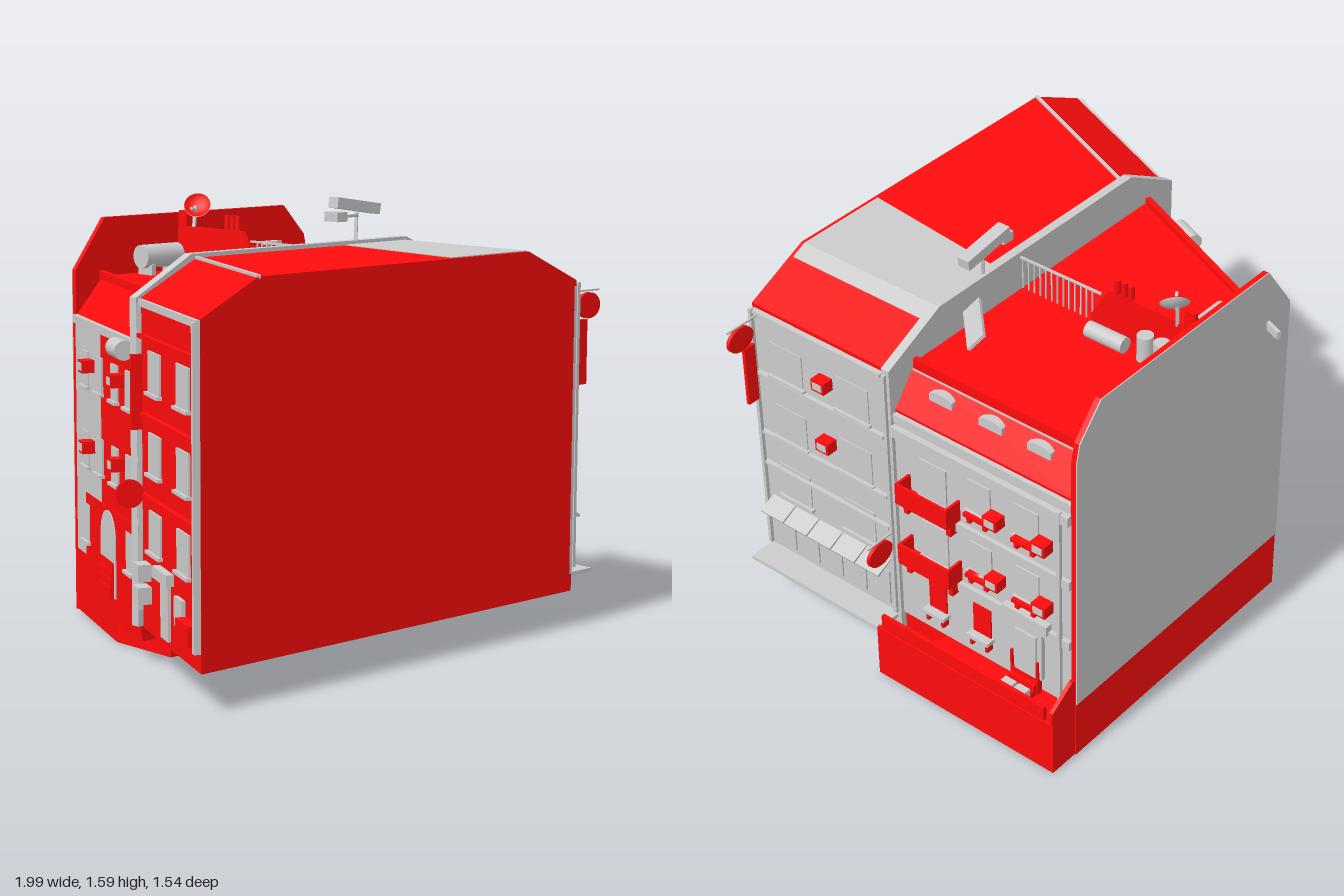
import * as THREE from 'three';
import { ConvexGeometry } from 'three/addons/geometries/ConvexGeometry.js';

const grey = new THREE.MeshStandardMaterial({ color: 0xcccccc, side: THREE.DoubleSide });
const red = new THREE.MeshStandardMaterial({ color: 0xff0c0c, side: THREE.DoubleSide });

function add(parent, name, geometry, mat, x = 0, y = 0, z = 0) {
  const m = new THREE.Mesh(geometry, mat);
  m.name = name;
  m.position.set(x, y, z);
  parent.add(m);
  return m;
}
// box given by its extents
const box = (p, name, mat, x0, x1, y0, y1, z0, z1) =>
  add(p, name, new THREE.BoxGeometry(x1 - x0, y1 - y0, z1 - z0), mat, (x0 + x1) / 2, (y0 + y1) / 2, (z0 + z1) / 2);
const cyl = (p, name, mat, r, h, x, y, z, sides = 16) =>
  add(p, name, new THREE.CylinderGeometry(r, r, h, sides), mat, x, y, z);
const hull = (p, name, mat, pts) =>
  add(p, name, new ConvexGeometry(pts.map(a => new THREE.Vector3(...a))), mat);
// rectangular bar between two points of the parent's frame
function bar(p, name, mat, a, b, w, h = w) {
  const A = new THREE.Vector3(...a), B = new THREE.Vector3(...b);
  const m = add(p, name, new THREE.BoxGeometry(w, h, A.distanceTo(B)), mat);
  m.position.copy(A).lerp(B, 0.5);
  m.quaternion.setFromRotationMatrix(new THREE.Matrix4().lookAt(B, A, m.up));
  return m;
}
function plate(p, name, mat, pts, depth, z) {
  const s = new THREE.Shape(pts.map(a => new THREE.Vector2(...a)));
  return add(p, name, new THREE.ExtrudeGeometry(s, { depth, bevelEnabled: false }), mat, 0, 0, z);
}
// x of the slanted street front at depth z
const slant = z => -0.69 - 0.4375 * (z - 0.12);

// window: pane and sill on a facade whose outward side is +z
function windowAt(p, u, y, w, h) {
  box(p, 'windowPane', grey, u - w / 2, u + w / 2, y - h / 2, y + h / 2, 0, 0.008);
  box(p, 'windowSill', grey, u - w / 2 - 0.01, u + w / 2 + 0.01, y - h / 2 - 0.012, y - h / 2, 0, 0.02);
}
function airUnit(p, u, y) {
  box(p, 'airUnit', red, u - 0.03, u + 0.03, y - 0.023, y + 0.023, 0, 0.05);
  box(p, 'airUnitGrille', grey, u - 0.021, u + 0.021, y - 0.014, y + 0.014, 0.05, 0.053);
}
function roundSign(p, x, y, z) {
  const d = cyl(p, 'roundSign', red, 0.06, 0.014, x, y, z, 24);
  d.rotation.x = Math.PI / 2;
  d.scale.z = 0.8;
  bar(p, 'signArm', grey, [x - 0.09, y + 0.055, z], [x + 0.06, y + 0.055, z], 0.006);
}

function shells(g) {
  const profile = (z, l) => [[l, 0.135, z], [l, 1.29, z], [l + 0.25, 1.41, z], [0.58, 1.41, z], [0.84, 1.29, z], [0.84, 0.135, z]];
  hull(g, 'frontHouse', red, [...profile(0.12, slant(0.12)), ...profile(0.76, slant(0.76))]);
  // patched part of the roof
  hull(g, 'roofPatch', grey, [1.408, 1.413].flatMap(y =>
    [[0.27, y, 0.14], [0.27, y, 0.57], [0.2, y, 0.745], [0.58, y, 0.745], [0.58, y, 0.14]]));
  hull(g, 'roofPatchSlope', grey, [0, 0.005].flatMap(d =>
    [[0.58, 1.408 + d, 0.14], [0.64, 1.38 + d, 0.14], [0.64, 1.38 + d, 0.745], [0.58, 1.408 + d, 0.745]]));
  // rear house: body with mansard, stepped plinth
  const body = z => [[slant(z), 0.08, z], [slant(z), 1.13, z], [slant(z) + 0.13, 1.27, z],
    [0.72, 1.27, z], [0.83, 1.13, z], [0.83, 0.08, z]];
  hull(g, 'rearHouse', red, [...body(-0.69), ...body(0.12)]);
  hull(g, 'plinth', red, [0, 0.1].flatMap(y =>
    [[-0.56, y, -0.18], [slant(-0.69), y, -0.69], [0.84, y, -0.69], [0.84, y, 0.12], [-0.56, y, 0.12]]));
  // party wall and rear firewall
  plate(g, 'partyWall', grey, [[-0.72, 0.14], [-0.72, 1.29], [-0.47, 1.425], [0.59, 1.425], [0.855, 1.3], [0.855, 0.14]], 0.035, 0.102);
  const fire = y => [[-0.34, y], [-0.34, 1.3], [-0.2, 1.49], [0.72, 1.49], [0.83, 1.37], [0.845, 1.3], [0.845, y]];
  plate(g, 'firewall', red, fire(0), 0.02, -0.7);
  plate(g, 'firewallFace', grey, fire(0.24), 0.004, -0.704);
  // eaves and ridge trims
  bar(g, 'eaveTrim', grey, [slant(0.14) - 0.003, 1.275, 0.14], [slant(0.76) - 0.003, 1.275, 0.755], 0.02, 0.025);
  bar(g, 'ridgeTrim', grey, [slant(0.14) + 0.25, 1.41, 0.14], [slant(0.76) + 0.25, 1.41, 0.76], 0.014, 0.012);
  bar(g, 'eaveTrim', grey, [slant(-0.68) - 0.004, 1.12, -0.68], [slant(0.1) - 0.004, 1.12, 0.1], 0.022, 0.03);
  bar(g, 'ridgeBeam', red, [-0.21, 1.275, -0.69], [-0.57, 1.275, 0.1], 0.022, 0.03);
  bar(g, 'ridgeBeamEnd', grey, [-0.18, 1.268, -0.77], [-0.215, 1.268, -0.69], 0.016, 0.03);
}

// straight front on the +x side; u runs along -z
function straightFront(g) {
  const f = new THREE.Group();
  f.name = 'straightFront';
  f.position.set(0.84, 0, 0);
  f.rotation.y = Math.PI / 2;
  g.add(f);
  // front house
  box(f, 'frontHouseWall', grey, -0.76, -0.13, 0.2, 1.27, -0.01, 0.004);
  box(f, 'pavement', grey, -0.76, -0.12, 0.19, 0.205, 0, 0.115);
  for (const y of [1.275, 1.01, 0.745, 0.605]) box(f, 'ledge', grey, -0.75, -0.14, y - 0.012, y, 0, 0.022);
  for (const y of [1.09, 0.82, 0.55]) for (const u of [-0.605, -0.29]) windowAt(f, u, y, 0.15, 0.14);
  for (const y of [1.11, 0.845]) airUnit(f, -0.415, y);
  for (let i = 0; i < 5; i++) {
    const u = -0.735 + i * 0.118;
    box(f, 'shopWindow', grey, u, u + 0.105, 0.23, 0.38, 0, 0.01);
    hull(f, 'awning', grey, [u, u + 0.112].flatMap(x => [[x, 0.445, 0], [x, 0.44, 0], [x, 0.4, 0.07], [x, 0.41, 0.075]]));
  }
  for (const [u, top] of [[-0.75, 1.28], [-0.122, 1.28], [0.64, 1.08]])
    bar(f, 'drainpipe', grey, [u, 0.22, 0.02], [u, top, 0.02], 0.014);
  // rear house
  box(f, 'rearHouseWall', grey, -0.1, 0.68, 0.22, 1.12, -0.012, 0.002);
  box(f, 'cornice', grey, -0.1, 0.68, 1.035, 1.075, 0, 0.025);
  box(f, 'eaveBoard', grey, -0.1, 0.68, 1.09, 1.12, -0.01, 0.008);
  box(f, 'roofEdge', red, -0.1, 0.68, 1.25, 1.29, -0.125, -0.105);
  box(f, 'roofEdgeTrim', grey, -0.1, 0.68, 1.243, 1.25, -0.12, -0.1);
  for (const y of [0.775, 0.505]) {
    box(f, 'floorBand', grey, -0.1, 0.68, y - 0.02, y + 0.018, 0, 0.018);
    // balcony: floor slab, three parapets, brackets
    box(f, 'balconyFloor', red, -0.045, 0.19, y + 0.025, y + 0.045, 0, 0.075);
    box(f, 'balconyFront', red, -0.045, 0.19, y + 0.025, y + 0.11, 0.065, 0.075);
    for (const u of [-0.045, 0.18]) box(f, 'balconySide', red, u, u + 0.01, y + 0.025, y + 0.11, 0, 0.075);
    for (const u of [-0.025, 0.17]) box(f, 'balconyBracket', red, u - 0.01, u + 0.01, y - 0.03, y + 0.025, 0, 0.045);
    windowAt(f, 0.072, y + 0.13, 0.12, 0.16);
    for (const u of [0.28, 0.49]) {
      windowAt(f, u, y + 0.165, 0.1, 0.13);
      box(f, 'sillShelf', red, u - 0.05, u + 0.05, y + 0.085, y + 0.1, 0, 0.035);
      for (const d of [-0.035, 0.035]) box(f, 'sillBracket', red, u + d - 0.008, u + d + 0.008, y + 0.055, y + 0.085, 0, 0.025);
      airUnit(f, u + 0.08, y + 0.125);
    }
  }
  for (const u of [0.075, 0.28]) {
    box(f, 'groundWindow', red, u - 0.04, u + 0.04, 0.33, 0.455, 0, 0.008);
    box(f, 'bench', grey, u - 0.05, u + 0.05, 0.315, 0.33, 0, 0.04);
    for (const d of [-0.04, 0.03]) box(f, 'benchLeg', red, u + d, u + d + 0.012, 0.28, 0.315, 0, 0.03);
  }
  box(f, 'doorSurround', grey, 0.42, 0.56, 0.28, 0.53, 0, 0.02);
  box(f, 'doorHood', grey, 0.39, 0.59, 0.51, 0.55, 0, 0.03);
  box(f, 'door', grey, 0.445, 0.54, 0.28, 0.47, 0, 0.028);
  for (let i = 0; i < 3; i++) box(f, 'doorStep', red, 0.43, 0.545, 0.215, 0.285 - i * 0.022, 0, 0.03 + i * 0.015);
  for (const u of [0.43, 0.545]) box(f, 'doorStepRail', red, u - 0.004, u + 0.004, 0.215, 0.36, 0.01, 0.03);
  // arched dormers set into the mansard
  for (const u of [0.06, 0.28, 0.49]) {
    const s = new THREE.Shape().moveTo(-0.05, 1.187).lineTo(-0.035, 1.18).lineTo(0.035, 1.18).lineTo(0.05, 1.187)
      .lineTo(0.05, 1.222).quadraticCurveTo(0, 1.248, -0.05, 1.222);
    add(f, 'dormer', new THREE.ExtrudeGeometry(s, { depth: 0.05, bevelEnabled: false }), grey, u, 0, -0.11);
  }
}

// raised terrace with steps along the straight front
function terrace(g) {
  box(g, 'terrace', red, 0.83, 0.955, 0, 0.215, -0.69, -0.13);
  for (let i = 0; i < 8; i++) box(g, 'terraceStep', red, 0.83, 0.955, 0, 0.025 + i * 0.026, -0.13 + (7 - i) * 0.03, -0.1 + (7 - i) * 0.03);
  box(g, 'terraceParapet', red, 0.95, 0.965, 0, 0.22, -0.69, 0.12);
  box(g, 'terraceUpperParapet', red, 0.945, 0.96, 0.2, 0.28, -0.65, 0.1);
  plate(g, 'terraceEndWall', red, [[0.84, 0], [0.965, 0], [0.965, 0.28], [0.86, 0.35], [0.84, 0.35]], 0.015, -0.695);
  for (let i = 0; i < 2; i++) box(g, 'terraceCrate', grey, 0.9, 0.945, 0.215, 0.26, -0.54 + i * 0.06, -0.49 + i * 0.06);
}

// slanted front on the -x side; u runs from the rear to the front corner
function slantedFront(g) {
  const f = new THREE.Group();
  f.name = 'slantedFront';
  f.position.set(slant(-0.7), 0, -0.7);
  f.rotation.y = Math.atan2(-0.916, -0.4);
  g.add(f);
  // rear house
  box(f, 'rearPlaster', grey, 0.02, 0.37, 0.24, 1.11, -0.01, 0.003);
  box(f, 'baseBand', red, 0.16, 0.89, 0.1, 0.48, -0.01, 0.006);
  for (const y of [0.95, 0.65]) {
    for (const u of [0.17, 0.36, 0.57, 0.76]) windowAt(f, u, y, 0.085, 0.13);
    for (const u of [0.26, 0.66]) airUnit(f, u, y + 0.02);
  }
  for (const u of [0.17, 0.76]) windowAt(f, u, 0.37, 0.09, 0.14);
  const arch = new THREE.Shape().moveTo(-0.1, 0.16).lineTo(0.1, 0.16).lineTo(0.1, 0.37).absarc(0, 0.37, 0.1, 0, Math.PI).lineTo(-0.1, 0.16);
  add(f, 'archedDoorway', new THREE.ExtrudeGeometry(arch, { depth: 0.01, bevelEnabled: false }), grey, 0.48, 0, 0);
  for (let i = 0; i < 4; i++) box(f, 'doorwayStep', red, 0.4, 0.56, 0.16, 0.29 - i * 0.03, 0, 0.014 + i * 0.004);
  const tank = cyl(f, 'wallTank', grey, 0.035, 0.12, 0.79, 1.1, 0.045);
  tank.rotation.z = Math.PI / 2;
  // front house
  for (const y of [1.17, 0.9, 0.62]) box(f, 'ledge', red, 0.92, 1.58, y - 0.015, y, 0, 0.02);
  for (const y of [1.05, 0.77, 0.5]) for (const u of [1.08, 1.41]) windowAt(f, u, y, 0.14, 0.14);
  for (const y of [0.35, 0.27]) box(f, 'wallCabinet', grey, 0.95, 1.02, y - 0.03, y + 0.03, 0, 0.05);
  box(f, 'shopDoor', grey, 1.16, 1.25, 0.16, 0.36, 0, 0.012);
  box(f, 'shopDoorHood', grey, 1.12, 1.29, 0.36, 0.4, 0, 0.03);
  box(f, 'shopWindow', grey, 1.33, 1.42, 0.24, 0.34, 0, 0.015);
  box(f, 'stall', red, 1.43, 1.57, 0.22, 0.29, 0, 0.04);
  box(f, 'bladeSign', red, 0.94, 0.955, 0.84, 1.1, 0.01, 0.05);
  bar(f, 'drainpipe', grey, [0.92, 0.2, 0.012], [0.92, 1.27, 0.012], 0.015);
  box(f, 'cornerPilaster', grey, 1.57, 1.59, 0.2, 1.28, 0, 0.025);
  const disc = cyl(f, 'roundSign', red, 0.05, 0.012, 0.96, 0.62, 0.06, 24);
  disc.rotation.z = Math.PI / 2;
}

function roofThings(g) {
  // dividing wall with a sloped end, chimney pots and railing
  const w = plate(g, 'roofWall', red, [[-0.1, 1.26], [0.22, 1.26], [0.22, 1.31], [0.3, 1.44], [0.62, 1.44], [0.62, 1.5], [0.665, 1.5], [0.68, 1.26]], 0.016, 0);
  w.rotation.y = Math.PI / 2;
  w.position.x = 0.155;
  for (const z of [-0.33, -0.36, -0.39]) cyl(g, 'chimneyPot', red, 0.012, 0.06, 0.163, 1.465, z, 10);
  for (let i = 0; i < 13; i++) bar(g, 'railingPost', grey, [0.163, 1.28, 0.09 - i * 0.026], [0.163, 1.405, 0.09 - i * 0.026], 0.005);
  bar(g, 'railingTop', grey, [0.163, 1.405, 0.1], [0.163, 1.405, -0.26], 0.008);
  // tanks
  for (const z of [-0.5, -0.57]) cyl(g, 'waterTank', grey, 0.03, 0.1, 0.225, 1.325, z);
  cyl(g, 'lyingTank', grey, 0.03, 0.16, 0.245, 1.31, -0.35).rotation.x = Math.PI / 2;
  cyl(g, 'lyingTank', grey, 0.045, 0.18, 0, 1.34, -0.6).rotation.z = Math.PI / 2;
  for (const x of [-0.06, 0.06]) box(g, 'tankFoot', grey, x - 0.01, x + 0.01, 1.26, 1.31, -0.64, -0.56);
  // low beam beside the firewall
  box(g, 'lowWall', red, 0.2, 0.66, 1.26, 1.34, -0.665, -0.635);
  for (const x of [0.22, 0.625]) box(g, 'lowWallCap', grey, x - 0.035, x + 0.035, 1.34, 1.355, -0.67, -0.625);
  // board leaning on the roof
  const board = add(g, 'leaningBoard', new THREE.BoxGeometry(0.22, 0.012, 0.08), grey, 0.53, 1.365, 0);
  board.rotation.set(0.8, 0.78, 0, 'YXZ');
  // aerial panel on a mast
  bar(g, 'aerialMast', grey, [0.34, 1.41, 0.12], [0.355, 1.54, 0.11], 0.012);
  add(g, 'aerialPanel', new THREE.BoxGeometry(0.22, 0.04, 0.05), grey, 0.355, 1.55, 0.1).rotation.z = -0.15;
  box(g, 'aerialBox', grey, 0.2, 0.25, 1.5, 1.535, 0.1, 0.17);
  bar(g, 'aerialArm', grey, [0.25, 1.515, 0.13], [0.35, 1.515, 0.12], 0.01);
  // satellite dish: red bowl with a grey back
  const axis = new THREE.Vector3(-0.62, 0.55, 0.56).normalize();
  for (const [r, mat] of [[0.09, red], [0.092, grey]]) {
    const dish = add(g, 'dish', new THREE.SphereGeometry(r, 24, 6, 0, Math.PI * 2, 0, 0.6), mat);
    dish.quaternion.setFromUnitVectors(dish.up, axis.clone().negate());
    dish.position.set(0.185, 1.52, -0.59).addScaledVector(axis, 0.08);
  }
  bar(g, 'dishMast', grey, [0.165, 1.42, -0.59], [0.185, 1.52, -0.6], 0.012);
  bar(g, 'dishArm', grey, [0.17, 1.5, -0.58], [0.12, 1.515, -0.55], 0.01);
}

export function createModel() {
  const g = new THREE.Group();
  g.name = 'cornerHouses';
  shells(g);
  straightFront(g);
  terrace(g);
  slantedFront(g);
  roofThings(g);
  // hanging signs
  roundSign(g, 0.93, 1.19, 0.74);
  roundSign(g, 0.93, 0.54, 0.12);
  box(g, 'bladeSign', red, 0.87, 0.92, 0.9, 1.14, 0.733, 0.747);
  return g;
}
